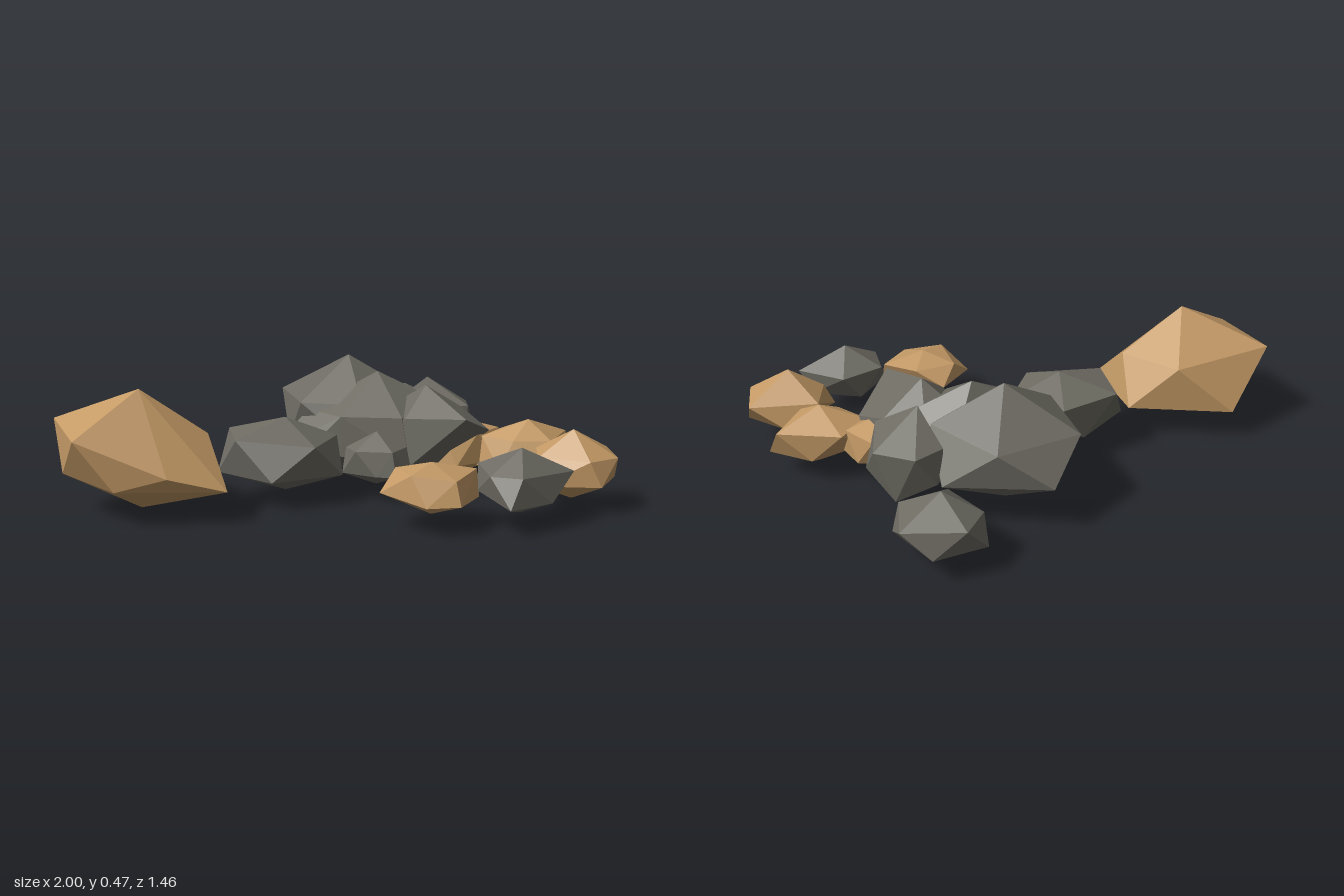
import * as THREE from 'three';
import { ConvexGeometry } from 'three/addons/geometries/ConvexGeometry.js';

const tan = new THREE.MeshStandardMaterial({ color: 0xc49a66, flatShading: true });
tan.name = 'sandstone';
const grey = new THREE.MeshStandardMaterial({ color: 0x6d6b62, flatShading: true });
grey.name = 'dark stone';

// Faceted boulder: a peak and a foot at [x, z], joined by an upper and a lower ring of corners.
// heights = [peak, upper ring, lower ring, foot]; a corner is [x, z] or [x, z, own height]
function boulder(name, material, [x, z], [peak, high, low, foot], upper, lower) {
  const points = [new THREE.Vector3(x, peak, z), new THREE.Vector3(x, foot, z)];
  for (const [px, pz, py = high] of upper) points.push(new THREE.Vector3(px, py, pz));
  for (const [px, pz, py = low] of lower) points.push(new THREE.Vector3(px, py, pz));
  const mesh = new THREE.Mesh(new ConvexGeometry(points), material);
  mesh.name = name;
  return mesh;
}

export function createModel() {
  const group = new THREE.Group();
  group.name = 'rockPile';
  group.add(
    // Large outlying boulder
    boulder('largeTanBoulder', tan, [-0.7, 0.23], [0.46, 0.31, 0.13, 0.03],
      [[-0.46, 0.22, 0.29], [-0.61, -0.01], [-1, 0.06, 0.33], [-0.935, 0.37], [-0.62, 0.43, 0.18]],
      [[-0.41, 0.405, 0.12], [-0.8, 0.39], [-0.975, 0.15, 0.145], [-0.82, -0.07], [-0.44, 0.06]]),

    // Central heap of dark boulders
    boulder('westBoulder', grey, [-0.165, 0.09], [0.31, 0.25, 0.11, 0.035],
      [[-0.36, -0.03], [-0.36, 0.19], [0.03, 0.07, 0.23], [-0.08, 0.26, 0.23], [-0.13, -0.11]],
      [[-0.415, 0.08], [-0.24, 0.28], [0.03, 0.2], [0.04, 0.05], [-0.22, -0.08]]),
    boulder('tallBoulder', grey, [0.13, -0.245], [0.475, 0.32, 0.17, 0.005],
      [[0.21, -0.48], [-0.11, -0.4], [-0.08, -0.1], [0.14, -0.01], [0.39, -0.2]],
      [[0.02, -0.535, 0.19], [0.39, -0.39], [0.37, -0.1], [0.1, 0.02], [-0.11, -0.2]]),
    boulder('middleBoulder', grey, [0.22, -0.12], [0.43, 0.29, 0.14, 0.02],
      [[-0.05, -0.12], [0.05, 0.04], [0.27, 0.1], [0.5, -0.08], [0.3, -0.25]],
      [[-0.09, 0], [0.05, 0.05], [0.29, 0.13], [0.5, -0.12], [-0.18, -0.12]]),
    boulder('frontBoulder', grey, [0.38, 0.01], [0.395, 0.29, 0.11, 0.015],
      [[0.47, 0.27, 0.315], [0.54, -0.07], [0.4, -0.15], [0.25, -0.1], [0.28, 0.11]],
      [[0.29, 0.13], [0.61, 0.08, 0.23], [0.57, -0.08], [0.34, -0.2], [0.17, -0.02]]),
    boulder('eastBoulder', grey, [0.43, -0.18], [0.39, 0.29, 0.13, 0.03],
      [[0.48, -0.39], [0.61, -0.27, 0.27], [0.57, -0.08], [0.37, -0.33], [0.4, -0.08]],
      [[0.4, -0.37, 0.17], [0.54, -0.29, 0.07], [0.62, -0.13], [0.54, -0.07], [0.34, -0.15, 0.06]]),
    boulder('smallFrontStone', grey, [0.17, 0.12], [0.25, 0.19, 0.1, 0.05],
      [[0.06, 0.1], [0.08, 0.18], [0.21, 0.22], [0.28, 0.14], [0.18, 0.02]],
      [[0.04, 0.13], [0.15, 0.22], [0.22, 0.24], [0.29, 0.19], [0.24, 0.04]]),

    // Tan stones wedged under the heap
    boulder('wedgedEastStone', tan, [0.52, 0.02], [0.265, 0.22, 0.11, 0.06],
      [[0.59, -0.12], [0.67, 0], [0.56, 0.1], [0.43, 0.1], [0.42, -0.06]],
      [[0.52, -0.1], [0.64, -0.06], [0.68, 0.06], [0.47, 0.15], [0.38, 0.06]]),
    boulder('wedgedWestStone', tan, [0.02, -0.11], [0.22, 0.17, 0.11, 0.075],
      [[0.11, -0.1], [0.04, -0.03], [-0.08, -0.07], [-0.07, -0.16], [0.06, -0.2]],
      [[0.09, -0.05], [-0.03, -0.03], [-0.11, -0.13], [-0.02, -0.2], [0.1, -0.16]]),

    // Scattered stones around the heap
    boulder('backStone', grey, [0.43, -0.59], [0.285, 0.2, 0.105, 0.045],
      [[0.37, -0.73], [0.59, -0.68], [0.56, -0.49], [0.38, -0.45], [0.29, -0.62]],
      [[0.29, -0.69], [0.49, -0.73], [0.59, -0.52], [0.49, -0.44], [0.31, -0.56]]),
    boulder('frontGreyStone', grey, [0.59, 0.57], [0.28, 0.2, 0.1, 0.05],
      [[0.78, 0.57, 0.19], [0.62, 0.43], [0.46, 0.48, 0.21], [0.46, 0.64], [0.56, 0.69]],
      [[0.51, 0.725], [0.44, 0.55, 0.13], [0.55, 0.46], [0.73, 0.54], [0.68, 0.65]]),
    boulder('frontTanStone', tan, [0.28, 0.54], [0.235, 0.2, 0.11, 0.05],
      [[0.17, 0.46], [0.33, 0.43], [0.445, 0.52, 0.2], [0.34, 0.65, 0.19], [0.19, 0.62, 0.21]],
      [[0.1, 0.53, 0.13], [0.23, 0.38, 0.14], [0.445, 0.56], [0.35, 0.685], [0.23, 0.685]]),
    boulder('eastTanStone', tan, [0.835, 0.39], [0.295, 0.2, 0.11, 0.04],
      [[0.74, 0.26], [1, 0.29], [0.98, 0.46], [0.86, 0.51], [0.7, 0.41]],
      [[0.66, 0.42], [0.87, 0.25], [1, 0.38], [0.9, 0.525], [0.69, 0.47]]),
    boulder('sideTanStone', tan, [0.75, 0.12], [0.275, 0.21, 0.1, 0.04],
      [[0.69, -0.03], [0.92, 0.05], [0.81, 0.22], [0.67, 0.2], [0.58, 0.09]],
      [[0.56, 0.1], [0.8, 0.01], [0.945, 0.12], [0.82, 0.265], [0.75, 0.27], [0.62, 0.2]])
  );
  return group;
}
